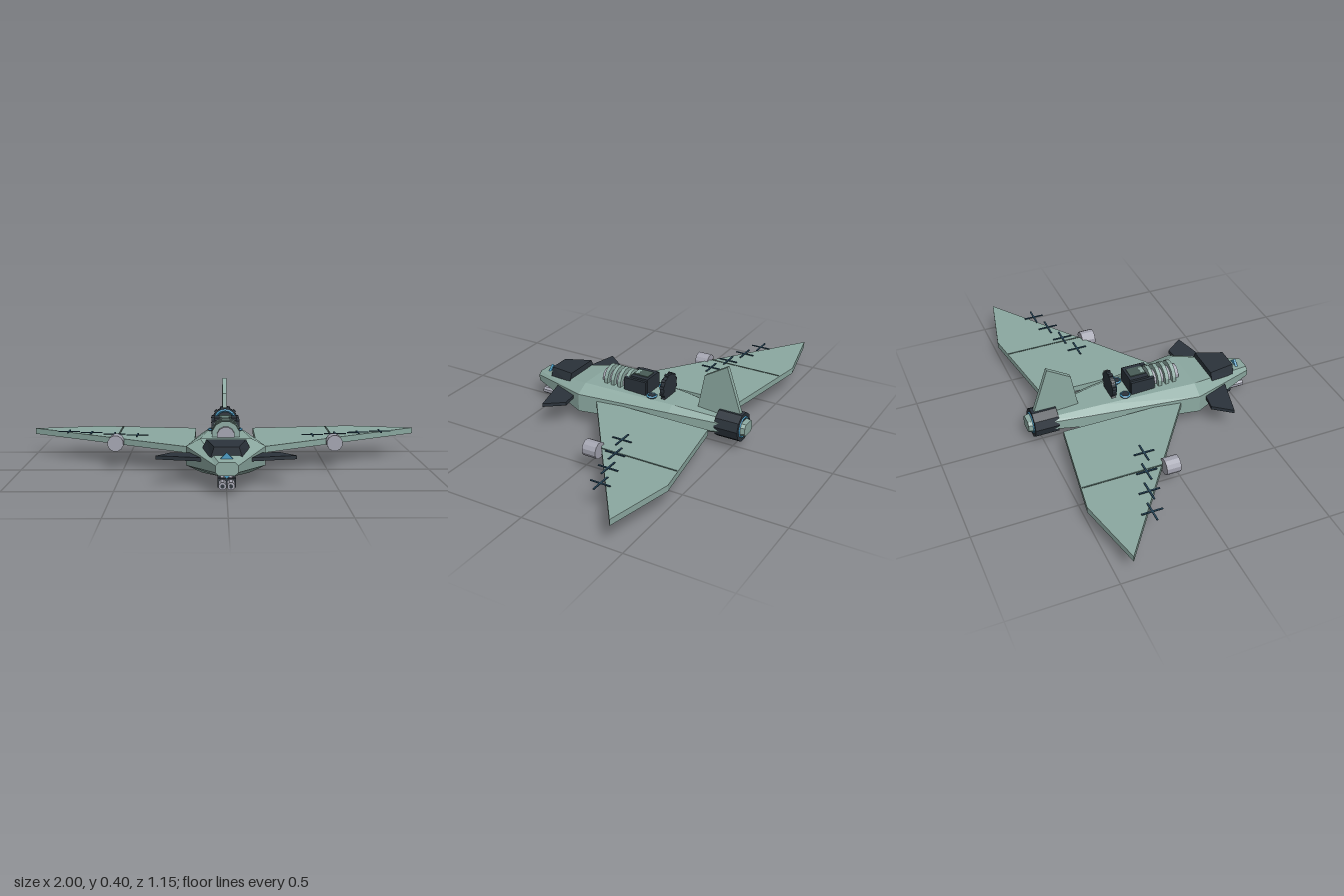
import * as THREE from 'three';

const mat = (name, color) => Object.assign(new THREE.MeshStandardMaterial({ color }), { name });

export function createModel() {
  const body = mat('sage hull', 0x8ca9a1);
  const dark = mat('charcoal', 0x2b333b);
  const grey = mat('light steel', 0xa3a4b0);
  const blue = mat('glow blue', 0x4a9cc4);
  const navy = mat('navy marking', 0x27475c);
  const seam = mat('panel seam', 0x485c57);
  const model = new THREE.Group();

  // Adds a mesh with faceted normals
  function add(name, geo, material, x = 0, y = 0, z = 0) {
    const g = geo.index ? geo.toNonIndexed() : geo;
    g.computeVertexNormals();
    const mesh = new THREE.Mesh(g, material);
    mesh.name = name;
    mesh.position.set(x, y, z);
    model.add(mesh);
    return mesh;
  }
  const box = (w, h, d) => new THREE.BoxGeometry(w, h, d);
  // Cylinder along z with a flat side on top
  const rod = (r, len, n = 10, rBack = r) =>
    new THREE.CylinderGeometry(r, rBack, len, n).rotateY(Math.PI / n).rotateX(Math.PI / 2);
  const shape = pts => new THREE.Shape(pts.map(p => new THREE.Vector2(...p)));
  // Horizontal slab from an (x, z) outline, hanging down from y = 0
  const slab = (pts, depth) =>
    new THREE.ExtrudeGeometry(shape(pts), { depth, bevelEnabled: false }).rotateX(Math.PI / 2);

  // Joins symmetric cross-sections, front to back; each holds right-half [x, y] points from top to bottom
  function loft(sections) {
    const rings = sections.map(({ z, half }) => [
      ...half.map(([x, y]) => [-x, y, z]),
      ...[...half].reverse().map(([x, y]) => [x, y, z]),
    ]);
    const out = [];
    const n = rings[0].length;
    const tri = (...p) => p.forEach(v => out.push(...v));
    for (let s = 0; s < rings.length - 1; s++) {
      const f = rings[s], b = rings[s + 1];
      for (let i = 0; i < n; i++) {
        const j = (i + 1) % n;
        tri(f[i], b[i], f[j]);
        tri(f[j], b[i], b[j]);
      }
    }
    const first = rings[0], last = rings[rings.length - 1];
    for (let i = 1; i < n - 1; i++) {
      tri(first[0], first[i], first[i + 1]);
      tri(last[0], last[i + 1], last[i]);
    }
    const g = new THREE.BufferGeometry();
    g.setAttribute('position', new THREE.Float32BufferAttribute(out, 3));
    return g;
  }

  // Fuselage and canopy
  add('fuselage', loft([
    { z: 0.58, half: [[0.035, 0.145], [0.05, 0.13], [0.05, 0.1], [0.035, 0.085]] },
    { z: 0.25, half: [[0.12, 0.195], [0.185, 0.16], [0.185, 0.07], [0.11, 0.035]] },
    { z: -0.21, half: [[0.075, 0.175], [0.115, 0.15], [0.115, 0.08], [0.07, 0.055]] },
    { z: -0.575, half: [[0.028, 0.145], [0.04, 0.13], [0.04, 0.1], [0.028, 0.085]] },
  ]), body);
  add('canopy', loft([
    { z: 0.49, half: [[0.055, 0.197], [0.07, 0.15]] },
    { z: 0.352, half: [[0.09, 0.209], [0.112, 0.16]] },
  ]), dark);
  // Diamond sensor through the nose
  add('noseSensor', new THREE.CylinderGeometry(0.058, 0.058, 0.012, 4).rotateX(Math.PI / 2), blue, 0, 0.122, 0.53);

  for (const s of [1, -1]) {
    const side = s > 0 ? 'left' : 'right';
    const flip = pts => pts.map(([x, z]) => [s * x, z]);
    // Wing with seam, pod and cross markings
    add(side + 'Wing', slab(flip([[0.15, -0.44], [0.66, -0.515], [1, -0.44], [0.15, 0.17]]), 0.03), body, 0, 0.14, 0);
    for (const y of [0.1405, 0.1095])
      add(side + 'WingSeam', box(0.008, 0.003, 0.38), seam, s * 0.54, y, -0.302);
    add(side + 'WingPod', rod(0.04, 0.07, 12), grey, s * 0.54, 0.125, -0.065);
    for (let i = 0; i < 4; i++) {
      const x = s * (0.44 + i * 0.12), z = -0.155 - i * 0.0385;
      add(side + 'CrossBar', box(0.11, 0.004, 0.008), navy, x, 0.148, z);
      add(side + 'CrossStem', box(0.008, 0.004, 0.1), navy, x, 0.148, z);
    }
    add(side + 'Canard', slab(flip([[0.1, 0.3], [0.25, 0.28], [0.32, 0.37], [0.1, 0.425]]), 0.017), dark, 0, 0.137, 0);

    // Twin gun barrel
    add(side + 'GunBarrel', rod(0.018, 0.17, 8), grey, s * 0.019, 0.037, 0.485);
    add(side + 'GunBore', rod(0.009, 0.004, 8), dark, s * 0.019, 0.037, 0.571);
    // Engine side rail and low vent
    add(side + 'EngineRail', box(0.02, 0.07, 0.12), dark, s * 0.058, 0.215, 0);
    add(side + 'Vent', new THREE.CylinderGeometry(0.024, 0.024, 0.03, 8), dark, s * 0.06, 0.175, -0.09);
    add(side + 'VentRing', new THREE.TorusGeometry(0.022, 0.006, 4, 8).rotateX(Math.PI / 2), blue, s * 0.06, 0.187, -0.09);
  }

  // Gun housing and clamps
  add('gunHousing', rod(0.043, 0.13, 8), dark, 0, 0.04, 0.345);
  for (const z of [0.415, 0.488])
    add('gunClamp', box(0.082, 0.042, 0.016), dark, 0, 0.037, z);

  // Finned engine on the spine
  add('engineCore', rod(0.042, 0.2, 12), grey, 0, 0.2, 0.1);
  for (let i = 0; i < 5; i++)
    add('coolingFin', rod(0.067, 0.019, 12), body, 0, 0.2, 0.167 - i * 0.0375);
  add('engineBlock', box(0.11, 0.08, 0.095), dark, 0, 0.22, -0.0145);
  add('engineCap', box(0.06, 0.006, 0.08), seam, 0, 0.261, -0.01);

  // Toothed rotor behind the engine
  add('rotorDisc', rod(0.064, 0.02, 16), dark, 0, 0.225, -0.147);
  for (let i = 0; i < 12; i++) {
    const a = (i + 0.5) * Math.PI / 6;
    const tooth = add('rotorTooth', box(0.014, 0.014, 0.02), dark, 0.063 * Math.sin(a), 0.225 + 0.063 * Math.cos(a), -0.147);
    tooth.rotation.z = -a;
  }
  add('rotorGlow', new THREE.TorusGeometry(0.05, 0.007, 4, 16), blue, 0, 0.225, -0.135);

  // Tail fin
  const fin = shape([[-0.31, 0.14], [-0.345, 0.335], [-0.46, 0.405], [-0.55, 0.14]]);
  add('tailFin', new THREE.ExtrudeGeometry(fin, { depth: 0.022, bevelEnabled: false })
    .rotateY(-Math.PI / 2), body, 0.011, 0, 0);

  // Exhaust nozzle with glowing rim
  add('nozzle', rod(0.072, 0.12, 10), dark, 0, 0.115, -0.49);
  add('nozzleGlow', new THREE.TorusGeometry(0.049, 0.005, 4, 10), blue, 0, 0.115, -0.55);

  return model;
}
